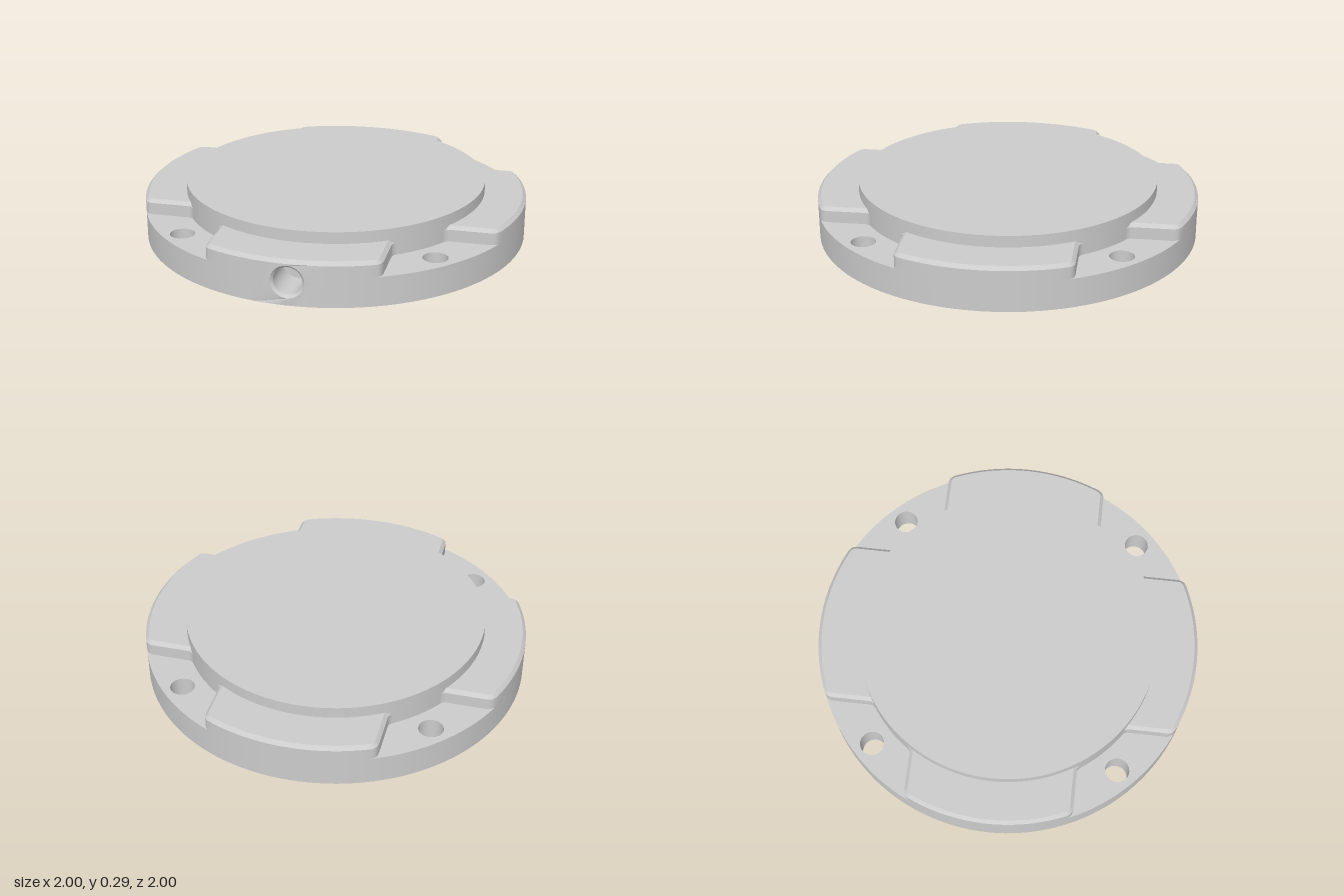
import * as THREE from 'three';
import { toCreasedNormals } from 'three/addons/utils/BufferGeometryUtils.js';

const R = 1, DISC_R = 0.785, FLOOR_Y = 0.15, LOBE_Y = 0.23, TOP_Y = 0.29, CHAMFER = 0.018;
const HALF_W = 0.43, CORNER = 0.05, FILLET = 0.04, ARC_STEPS = 24, PATCH_STEPS = 5;
const PORT_R = 0.083, PORT_Y = 0.12;

// centre of a lobe's rounded outer corner, and the angle where its outer arc ends
const cornerT = HALF_W - CORNER;
const cornerU = Math.sqrt((R - CORNER) ** 2 - cornerT ** 2);
const arcEnd = Math.atan2(cornerT, cornerU);
const patchAngle = arcEnd * PATCH_STEPS * 2 / ARC_STEPS;

const material = new THREE.MeshStandardMaterial({ color: 0xcccccc, side: THREE.DoubleSide });

function add(parent, name, geometry) {
  const mesh = new THREE.Mesh(geometry, material);
  mesh.name = name;
  parent.add(mesh);
  return mesh;
}

const circle = (x, y, r) => new THREE.Path().absarc(x, y, r, 0, Math.PI * 2, true);

// Plan outline of a lobe pointing along +x: fillet, side, corner, arc and their mirror
function lobeOutline(inset) {
  const half = [];
  for (let i = ARC_STEPS / 2; i <= ARC_STEPS; i++) {
    const a = arcEnd * (i * 2 / ARC_STEPS - 1);
    half.push([(R - inset) * Math.cos(a), (R - inset) * Math.sin(a)]);
  }
  for (let i = 1; i <= 6; i++) {
    const a = THREE.MathUtils.lerp(arcEnd, Math.PI / 2, i / 6), r = CORNER - inset;
    half.push([cornerU + r * Math.cos(a), cornerT + r * Math.sin(a)]);
  }
  const ft = HALF_W + FILLET, fu = Math.sqrt((DISC_R + FILLET) ** 2 - ft ** 2);
  const toCentre = Math.atan2(-ft, -fu);
  for (let i = 0; i <= 6; i++) {
    const a = THREE.MathUtils.lerp(-Math.PI / 2, toCentre, i / 6), r = FILLET + inset;
    half.push([fu + r * Math.cos(a), ft + r * Math.sin(a)]);
  }
  const mirrored = half.slice(1).reverse().map(([u, t]) => [u, -t]);
  return [...mirrored, ...half];
}

// Upright wall and chamfer of a lobe, optionally leaving a gap for the port
function lobeWall(hasPort) {
  const rings = [[0, FLOOR_Y], [0, LOBE_Y - CHAMFER], [CHAMFER, LOBE_Y]];
  const pos = [], index = [];
  const n = lobeOutline(0).length, mid = (n - 1) / 2;
  for (const [inset, y] of rings) for (const [u, t] of lobeOutline(inset)) pos.push(u, y, t);
  for (let j = 0; j < 2; j++) {
    for (let i = 0; i < n - 1; i++) {
      if (hasPort && j === 0 && i >= mid - PATCH_STEPS && i < mid + PATCH_STEPS) continue;
      const a = j * n + i, b = a + 1, d = a + n, c = d + 1;
      index.push(a, d, b, b, d, c);
    }
  }
  const g = new THREE.BufferGeometry();
  g.setAttribute('position', new THREE.Float32BufferAttribute(pos, 3));
  g.setIndex(index);
  return toCreasedNormals(g, 0.5);
}

// Piece of the outer wall with the round port cut out, bent round the rim
function portWall() {
  const h = LOBE_Y - CHAMFER, pts = [];
  for (let i = -PATCH_STEPS; i <= PATCH_STEPS; i++) pts.push(new THREE.Vector2(patchAngle * R * i / PATCH_STEPS, 0));
  for (let i = PATCH_STEPS; i >= -PATCH_STEPS; i--) pts.push(new THREE.Vector2(patchAngle * R * i / PATCH_STEPS, h));
  const shape = new THREE.Shape(pts);
  shape.holes.push(circle(0, PORT_Y, PORT_R));
  const g = new THREE.ShapeGeometry(shape, 32);
  const p = g.attributes.position;
  for (let i = 0; i < p.count; i++) {
    const a = p.getX(i) / R;
    p.setXYZ(i, R * Math.cos(a), p.getY(i), -R * Math.sin(a));
  }
  return toCreasedNormals(g, 0.5);
}

// Chamfered blind bore, mouth at y = 0 and going up
function bore(r, rim, depth) {
  const profile = [[r, 0], [r - rim, rim], [r - rim, depth], [0, depth]];
  return toCreasedNormals(new THREE.LatheGeometry(profile.map(([x, y]) => new THREE.Vector2(x, y)), 32), 0.5);
}

export function createModel() {
  const model = new THREE.Group();
  model.name = 'flangedCover';

  const boltHoles = [0, 1, 2, 3].map(k => [0.9 * Math.cos(k * Math.PI / 2), 0.9 * Math.sin(k * Math.PI / 2)]);
  const blindHoles = [[0.487, 0.665, 0.068], [-0.665, -0.487, 0.08]];

  // underside
  const under = new THREE.Shape().absarc(0, 0, R, 0, Math.PI * 2, false);
  for (const [x, z] of boltHoles) under.holes.push(circle(x, z, 0.0625));
  for (const [x, z, r] of blindHoles) under.holes.push(circle(x, z, r));
  add(model, 'underside', new THREE.ShapeGeometry(under, 48).rotateX(Math.PI / 2));

  // rim wall, open where the port piece sits
  add(model, 'rimWall', new THREE.CylinderGeometry(R, R, FLOOR_Y, 96, 1, true,
    -Math.PI / 4 + patchAngle, Math.PI * 2 - patchAngle * 2)).position.y = FLOOR_Y / 2;

  // bolt holes and blind holes
  for (const [x, z] of boltHoles) {
    add(model, 'boltHole', new THREE.CylinderGeometry(0.0625, 0.0625, FLOOR_Y, 32, 1, true)).position.set(x, FLOOR_Y / 2, z);
  }
  for (const [x, z, r] of blindHoles) {
    add(model, 'blindHole', bore(r, 0.012, FLOOR_Y)).position.set(x, 0, z);
  }

  // raised centre disc
  add(model, 'discWall', new THREE.CylinderGeometry(DISC_R, DISC_R, TOP_Y - FLOOR_Y, 96, 1, true))
    .position.y = (TOP_Y + FLOOR_Y) / 2;
  add(model, 'discTop', new THREE.CircleGeometry(DISC_R, 96).rotateX(-Math.PI / 2)).position.y = TOP_Y;

  for (let k = 0; k < 4; k++) {
    // sunken pocket floor round each bolt hole
    const sector = new THREE.Shape().absarc(0, 0, R, -0.5, 0.5, false);
    sector.absarc(0, 0, DISC_R - 0.01, 0.5, -0.5, true);
    sector.holes.push(circle(0.9, 0, 0.0625));
    const floor = add(model, 'pocketFloor', new THREE.ShapeGeometry(sector, 24).rotateX(-Math.PI / 2));
    floor.position.y = FLOOR_Y;
    floor.rotation.y = k * Math.PI / 2;

    // raised lobe between the pockets
    const lobe = new THREE.Group();
    lobe.name = 'lobe';
    lobe.rotation.y = Math.PI / 4 + k * Math.PI / 2;
    model.add(lobe);
    const hasPort = k === 2;
    add(lobe, 'lobeWall', lobeWall(hasPort));
    const cap = new THREE.Shape(lobeOutline(CHAMFER).map(([u, t]) => new THREE.Vector2(u, -t)));
    add(lobe, 'lobeTop', new THREE.ShapeGeometry(cap).rotateX(-Math.PI / 2)).position.y = LOBE_Y;

    // side port
    if (hasPort) {
      add(lobe, 'portWall', portWall());
      const port = add(lobe, 'portBore', bore(PORT_R, 0.012, 0.2));
      port.position.set(R - 0.003, PORT_Y, 0);
      port.rotation.z = Math.PI / 2;
    }
  }
  return model;
}
